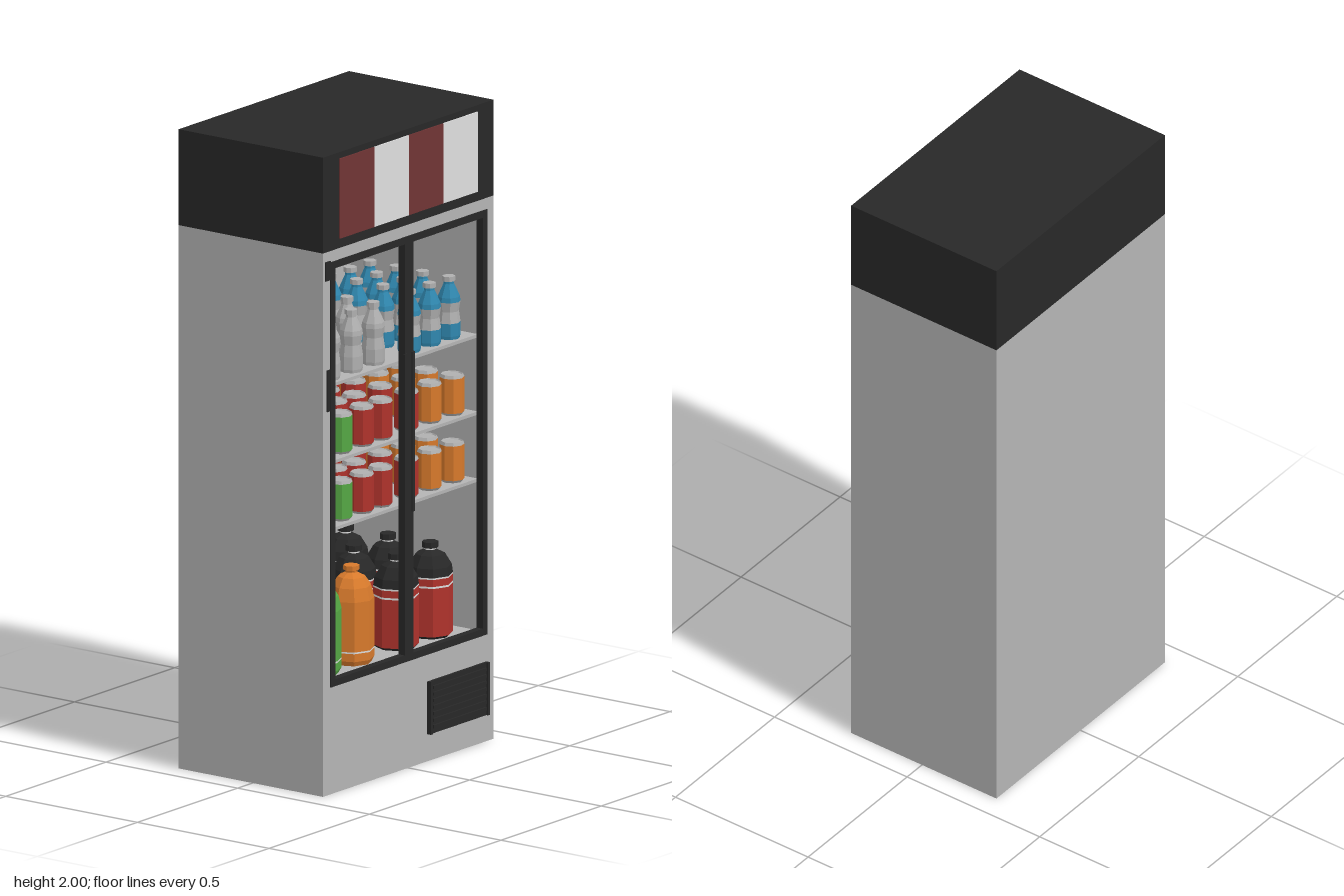
import * as THREE from 'three';

const mat = (name, color) => {
  const m = new THREE.MeshStandardMaterial({ color });
  m.name = name;
  return m;
};

export function createModel() {
  const M = {
    grey: mat('cabinet grey', 0xb4b4b4),
    dark: mat('charcoal', 0x282828),
    white: mat('white', 0xdedede),
    maroon: mat('maroon', 0x703434),
    red: mat('drink red', 0xb0332c),
    green: mat('drink green', 0x55a844),
    orange: mat('drink orange', 0xd87a2c),
    blue: mat('drink blue', 0x3088b0),
    silver: mat('silver', 0xb0b0b0),
  };
  const root = new THREE.Group();
  root.name = 'displayFridge';
  const FRONT = 0.267, BACK = -0.281, HALF = 0.425;

  const add = (name, geo, material, parent = root) => {
    const m = new THREE.Mesh(geo, material);
    m.name = name;
    parent.add(m);
    return m;
  };
  // Box given by its limits on each axis
  const box = (name, material, [x0, x1], [y0, y1], [z0, z1], parent) => {
    const m = add(name, new THREE.BoxGeometry(x1 - x0, y1 - y0, z1 - z0), material, parent);
    m.position.set((x0 + x1) / 2, (y0 + y1) / 2, (z0 + z1) / 2);
    return m;
  };

  // Cabinet shell with the door opening cut through, closed by a back wall
  const rect = (path, w, y0, y1) =>
    path.moveTo(-w, y0).lineTo(w, y0).lineTo(w, y1).lineTo(-w, y1).closePath();
  const outline = rect(new THREE.Shape(), HALF, 0, 1.7);
  outline.holes.push(rect(new THREE.Path(), 0.38, 0.345, 1.65));
  const shell = new THREE.ExtrudeGeometry(outline, { depth: FRONT - BACK - 0.04, bevelEnabled: false });
  shell.rotateY(Math.PI / 2).translate(BACK + 0.04, 0, 0);
  add('cabinetShell', shell, M.grey);
  box('backWall', M.grey, [BACK, BACK + 0.04], [0, 1.7], [-HALF, HALF]);

  // Header with a striped sign
  box('header', M.dark, [BACK, FRONT], [1.7, 2], [-HALF, HALF]);
  for (let i = 0; i < 4; i++) {
    const z = 0.345 - i * 0.172;
    box('signStripe', i % 2 ? M.white : M.maroon, [FRONT, FRONT + 0.004], [1.73, 1.98], [z - 0.172, z]);
  }

  // Door frames and handles
  const doors = new THREE.Group();
  doors.name = 'doors';
  root.add(doors);
  const fx = [FRONT - 0.02, FRONT + 0.004];
  for (const s of [1, -1]) {
    const span = (a, b) => (s > 0 ? [a, b] : [-b, -a]);
    box('outerStile', M.dark, fx, [0.335, 1.665], span(0.368, 0.39), doors);
    box('innerStile', M.dark, fx, [0.335, 1.665], span(0, 0.022), doors);
    box('topRail', M.dark, fx, [1.643, 1.665], span(0.022, 0.368), doors);
    box('bottomRail', M.dark, fx, [0.335, 0.357], span(0.022, 0.368), doors);
    box('handle', M.dark, [FRONT, FRONT + 0.007], [0.8, 1.3], span(0.012, 0.026), doors);
  }
  box('upperHinge', M.dark, [FRONT, FRONT + 0.003], [1.61, 1.67], [0.39, 0.415], doors);
  box('sideLatch', M.dark, [FRONT, FRONT + 0.003], [1.2, 1.33], [0.392, 0.407], doors);

  // Ventilation grille
  box('grillePlate', M.dark, [FRONT, 0.275], [0.085, 0.25], [-0.39, -0.095]);
  for (let i = 0; i < 7; i++) {
    const y = 0.102 + i * 0.0205;
    box('grilleSlat', M.dark, [0.275, 0.281], [y, y + 0.01], [-0.375, -0.11]);
  }
  for (const z of [[-0.39, -0.38], [-0.105, -0.095]])
    box('grilleEdge', M.dark, [0.275, 0.281], [0.085, 0.25], z);

  // Shelves
  for (const y of [0.82, 1.03, 1.272])
    box('shelf', M.grey, [BACK + 0.04, FRONT - 0.025], [y - 0.01, y], [-0.38, 0.38]);

  // Drinks: each section is [material, [radius, height] points], turned on eight sides
  const makeSections = (sections) => sections.map(([material, pts]) => {
    const lathe = new THREE.LatheGeometry(pts.map((p) => new THREE.Vector2(...p)), 8);
    const geo = lathe.toNonIndexed();
    geo.computeVertexNormals();
    return [material, geo];
  });
  const place = (name, sections, y, z, xs) => {
    for (const x of xs) {
      const g = new THREE.Group();
      g.name = name;
      g.position.set(x, y, z);
      sections.forEach(([material, geo]) => add(name + 'Section', geo, material, g));
      root.add(g);
    }
  };
  const smallBottle = (main, label) => makeSections([
    [main, [[0, 0], [0.034, 0], [0.036, 0.01], [0.036, 0.05]]],
    [label, [[0.036, 0.05], [0.031, 0.085], [0.036, 0.115]]],
    [main, [[0.036, 0.115], [0.034, 0.13], [0.016, 0.17], [0.016, 0.178]]],
    [label, [[0.02, 0.178], [0.02, 0.193], [0, 0.193]]],
  ]);
  const can = (main) => makeSections([
    [M.silver, [[0, 0], [0.032, 0], [0.038, 0.008]]],
    [main, [[0.038, 0.008], [0.038, 0.116]]],
    [M.silver, [[0.038, 0.116], [0.034, 0.126], [0.031, 0.122], [0, 0.122]]],
  ]);
  const largeBottle = (main) => makeSections([
    [main, [[0, 0], [0.062, 0], [0.07, 0.015], [0.07, 0.04]]],
    [M.white, [[0.07, 0.04], [0.07, 0.045]]],
    [main, [[0.07, 0.045], [0.07, 0.2], [0.06, 0.24], [0.042, 0.268], [0.018, 0.28], [0.018, 0.285],
      [0.025, 0.288], [0.025, 0.302], [0, 0.302]]],
  ]);
  const labelledBottle = makeSections([
    [M.dark, [[0, 0], [0.062, 0], [0.07, 0.008]]],
    [M.red, [[0.07, 0.008], [0.07, 0.16]]],
    [M.white, [[0.07, 0.16], [0.07, 0.166]]],
    [M.red, [[0.07, 0.166], [0.07, 0.188]]],
    [M.white, [[0.07, 0.188], [0.07, 0.193]]],
    [M.dark, [[0.07, 0.193], [0.066, 0.22], [0.045, 0.255], [0.018, 0.268]]],
    [M.white, [[0.018, 0.268], [0.018, 0.274]]],
    [M.dark, [[0.025, 0.274], [0.025, 0.292], [0, 0.292]]],
  ]);

  // Top shelf: small bottles
  const rows = [0.195, 0.095, -0.005, -0.105];
  const clear = smallBottle(M.silver, M.silver), blue = smallBottle(M.blue, M.silver);
  for (const z of [0.302, 0.19, 0.08]) place('clearBottle', clear, 1.272, z, rows);
  for (const z of [-0.1, -0.2, -0.297]) place('blueBottle', blue, 1.272, z, rows);

  // Middle shelves: cans
  const green = can(M.green), red = can(M.red), orange = can(M.orange);
  const cans = [[0.335, green], [0.245, green], [0.138, red], [0.045, red], [-0.085, red], [-0.2, orange], [-0.313, orange]];
  for (const y of [0.82, 1.03])
    for (const [z, kind] of cans) place('drinkCan', kind, y, z, rows);

  // Floor: large bottles
  const deep = [0.16, 0.0, -0.16];
  place('greenBottle', largeBottle(M.green), 0.347, 0.306, deep);
  place('orangeBottle', largeBottle(M.orange), 0.347, 0.143, deep);
  for (const z of [-0.08, -0.25]) place('labelledBottle', labelledBottle, 0.347, z, deep);

  return root;
}
